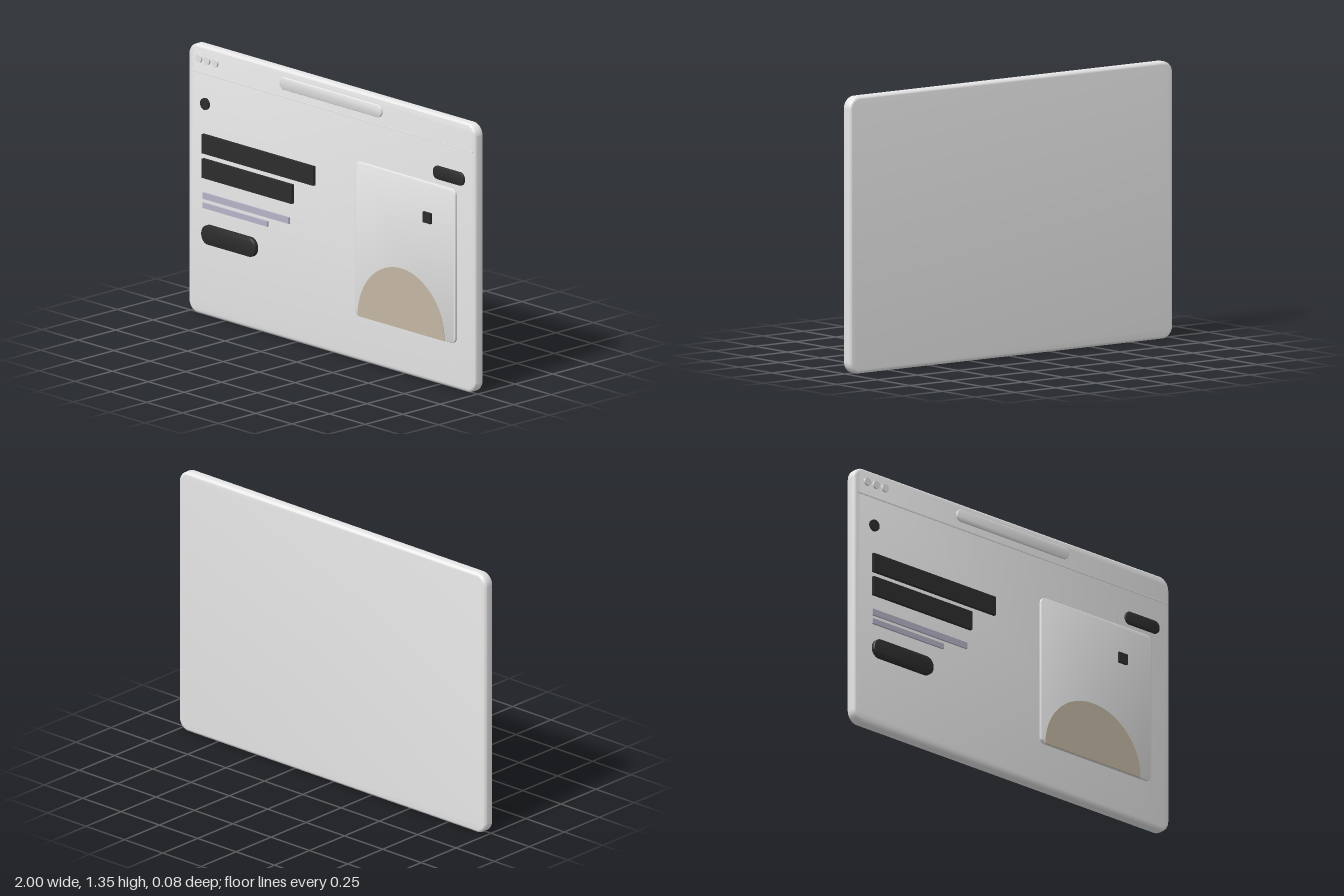
import * as THREE from 'three';
import { toCreasedNormals } from 'three/addons/utils/BufferGeometryUtils.js';

const FACE = 0.017; // front of the slab
const BURY = 0.012; // where raised parts start, just inside the slab

function mat(name, color) {
  const m = new THREE.MeshStandardMaterial({ color });
  m.name = name;
  return m;
}

// Rounded rectangle outline
function roundRect(x0, x1, y0, y1, r) {
  const s = new THREE.Shape();
  s.moveTo(x0 + r, y0);
  s.lineTo(x1 - r, y0);
  s.absarc(x1 - r, y0 + r, r, -Math.PI / 2, 0);
  s.lineTo(x1, y1 - r);
  s.absarc(x1 - r, y1 - r, r, 0, Math.PI / 2);
  s.lineTo(x0 + r, y1);
  s.absarc(x0 + r, y1 - r, r, Math.PI / 2, Math.PI);
  s.lineTo(x0, y0 + r);
  s.absarc(x0 + r, y0 + r, r, Math.PI, Math.PI * 1.5);
  return s;
}

// Rounded plate with bevelled rims, filling exactly the given bounds
function plateGeometry(x0, x1, y0, y1, r, z0, z1, bevel) {
  const geo = new THREE.ExtrudeGeometry(
    roundRect(x0 + bevel, x1 - bevel, y0 + bevel, y1 - bevel, r - bevel), {
      depth: z1 - z0 - 2 * bevel,
      bevelEnabled: bevel > 0,
      bevelThickness: bevel,
      bevelSize: bevel,
      bevelSegments: 4,
      curveSegments: 8,
    });
  geo.translate(0, 0, z0 + bevel);
  return toCreasedNormals(geo, 0.6);
}

export function createModel() {
  const group = new THREE.Group();
  group.name = 'browserWindow';

  const white = mat('white', 0xfafafa);
  const charcoal = mat('charcoal', 0x2d2d2d);
  const lavender = mat('lavenderGrey', 0xb7b4c8);
  const beige = mat('beige', 0xc5b8a5);

  const add = (name, geo, material) => {
    const mesh = new THREE.Mesh(geo, material);
    mesh.name = name;
    group.add(mesh);
    return mesh;
  };
  const plate = (name, material, x0, x1, y0, y1, r, z1, bevel = 0) =>
    add(name, plateGeometry(x0, x1, y0, y1, r, BURY, z1, bevel), material);
  const box = (name, material, x0, x1, y0, y1, z1) => {
    const geo = new THREE.BoxGeometry(x1 - x0, y1 - y0, z1 - BURY);
    geo.translate((x0 + x1) / 2, (y0 + y1) / 2, (z1 + BURY) / 2);
    return add(name, geo, material);
  };
  const disc = (name, material, x, y, r, z1) => {
    const geo = new THREE.CylinderGeometry(r, r, z1 - BURY, 32);
    geo.rotateX(Math.PI / 2);
    geo.translate(x, y, (z1 + BURY) / 2);
    return add(name, geo, material);
  };

  // Window slab
  add('slab', plateGeometry(-1, 1, 0, 1.35, 0.06, -0.041, FACE, 0.015), white);

  // Title bar: three buttons, address bar, divider
  for (let i = 0; i < 3; i++) disc('windowButton' + (i + 1), white, -0.92 + i * 0.056, 1.283, 0.02, 0.027);
  plate('addressBar', white, -0.355, 0.355, 1.252, 1.314, 0.03, 0.027, 0.003);
  box('divider', white, -0.985, 0.985, 1.21, 1.216, 0.021);

  // Navigation row
  disc('badge', charcoal, -0.877, 1.064, 0.029, 0.028);
  plate('navPill', charcoal, 0.715, 0.929, 1.03, 1.096, 0.03, 0.028, 0.003);

  // Headline bars and smaller body lines
  box('headline1', charcoal, -0.889, -0.114, 0.816, 0.912, 0.033);
  box('headline2', charcoal, -0.889, -0.264, 0.693, 0.789, 0.033);
  box('bodyLine1', lavender, -0.889, -0.29, 0.586, 0.618, 0.026);
  box('bodyLine2', lavender, -0.889, -0.44, 0.54, 0.567, 0.026);

  // Action button
  plate('actionButton', charcoal, -0.889, -0.513, 0.367, 0.463, 0.045, 0.039, 0.005);

  // Picture card with arch and small square
  plate('card', white, 0.175, 0.875, 0.23, 1.003, 0.03, 0.031, 0.003);
  const half = new THREE.Shape();
  half.absarc(0.5, 0.23, 0.302, 0, Math.PI);
  half.closePath();
  const arch = new THREE.ExtrudeGeometry(half, { depth: 0.005, bevelEnabled: false, curveSegments: 40 });
  arch.translate(0, 0, 0.029);
  add('arch', toCreasedNormals(arch, 0.6), beige);
  box('cardSquare', charcoal, 0.66, 0.713, 0.8, 0.853, 0.043);

  return group;
}
